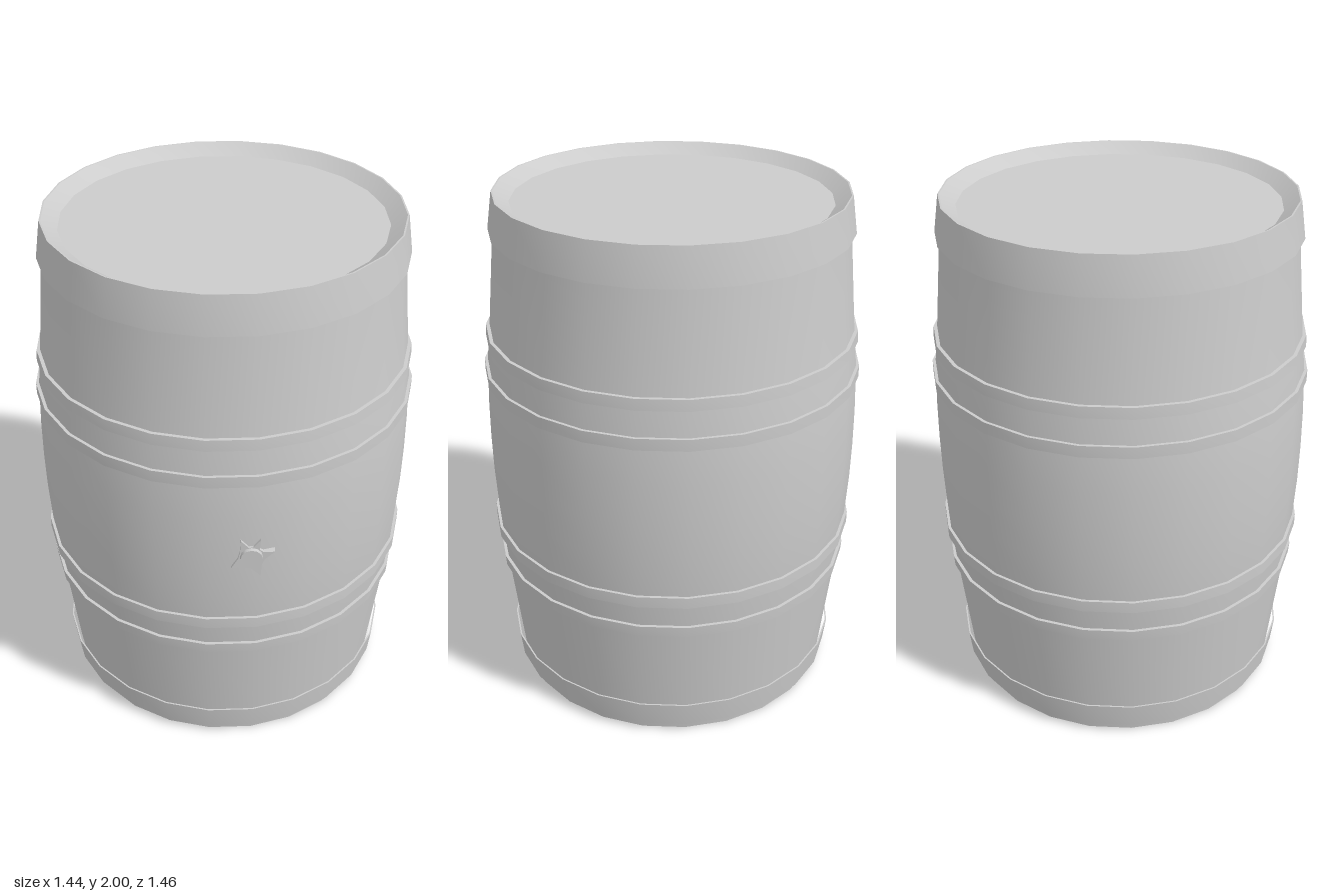
import * as THREE from 'three';
import { toCreasedNormals } from 'three/addons/utils/BufferGeometryUtils.js';

const SIDES = 24;
const HALF = Math.PI / SIDES; // turns a flat facet to the front
const CENTRE_Z = -0.01;

export function createModel() {
  const group = new THREE.Group();
  const material = new THREE.MeshStandardMaterial({ color: 0xcccccc });

  function add(name, geometry, z = CENTRE_Z) {
    const mesh = new THREE.Mesh(geometry, material);
    mesh.name = name;
    mesh.position.z = z;
    group.add(mesh);
    return mesh;
  }

  // Profiles are [flat-to-flat radius, height], bottom to top on the outside
  function turned(profile) {
    const points = profile.map(([r, y]) => new THREE.Vector2(r / Math.cos(HALF), y));
    return toCreasedNormals(new THREE.LatheGeometry(points, SIDES, HALF), 0.5);
  }

  function disc(radius, y, up) {
    const geometry = new THREE.CircleGeometry(radius / Math.cos(HALF), SIDES, HALF);
    geometry.rotateX(up ? -Math.PI / 2 : Math.PI / 2);
    return geometry.translate(0, y, 0);
  }

  // Bulging staves, with the bevelled chime falling inward to the lid
  add('staves', turned([
    [0.637, 0], [0.652, 0.14], [0.691, 0.5], [0.708, 0.685], [0.716, 0.85],
    [0.718, 1], [0.716, 1.15], [0.708, 1.335], [0.691, 1.48], [0.655, 1.86],
    [0.646, 1.98], [0.646, 2], [0.59, 1.96],
  ]));
  add('lid', disc(0.59, 1.96, true));
  add('base', disc(0.637, 0, false));

  // Hoops: [name, bottom y, bottom radius, top y, top radius]
  const hoops = [
    ['bottomHoop', 0.035, 0.658, 0.137, 0.67],
    ['lowerHoop', 0.5, 0.704, 0.543, 0.707],
    ['lowerBellyHoop', 0.64, 0.719, 0.685, 0.719],
    ['upperBellyHoop', 1.295, 0.719, 1.34, 0.719],
    ['upperHoop', 1.44, 0.707, 1.483, 0.704],
    ['topHoop', 1.86, 0.672, 2, 0.651],
  ];
  for (const [name, y0, r0, y1, r1] of hoops) {
    add(name, turned([[r0 - 0.03, y0], [r0, y0], [r1, y1], [Math.min(r1 - 0.006, 0.68), y1]]));
  }

  // Splintered wood around the bung: [angle in degrees, reach] of each tip
  const tips = [[18, 0.088], [68, 0.086], [116, 0.088], [212, 0.086], [292, 0.09]];
  const at = (deg, r) => [r * Math.cos(deg * Math.PI / 180), r * Math.sin(deg * Math.PI / 180)];
  const star = new THREE.Shape();
  tips.forEach(([angle, reach], i) => {
    const next = tips[(i + 1) % tips.length][0] + (i === tips.length - 1 ? 360 : 0);
    if (i === 0) star.moveTo(...at(angle, reach));
    else star.lineTo(...at(angle, reach));
    star.lineTo(...at(angle + (next - angle) * 0.3, 0.05));
    star.lineTo(...at(angle + (next - angle) * 0.7, 0.048));
  });
  star.closePath();
  const splinters = new THREE.ExtrudeGeometry(star, { depth: 0.035, bevelEnabled: false });
  add('bungSplinters', splinters, 0.682).position.set(0.07, 0.985, 0.682);

  const bung = new THREE.CylinderGeometry(0.04, 0.045, 0.04, 12).rotateX(Math.PI / 2);
  add('bung', bung).position.set(0.07, 0.99, 0.71);

  return group;
}
